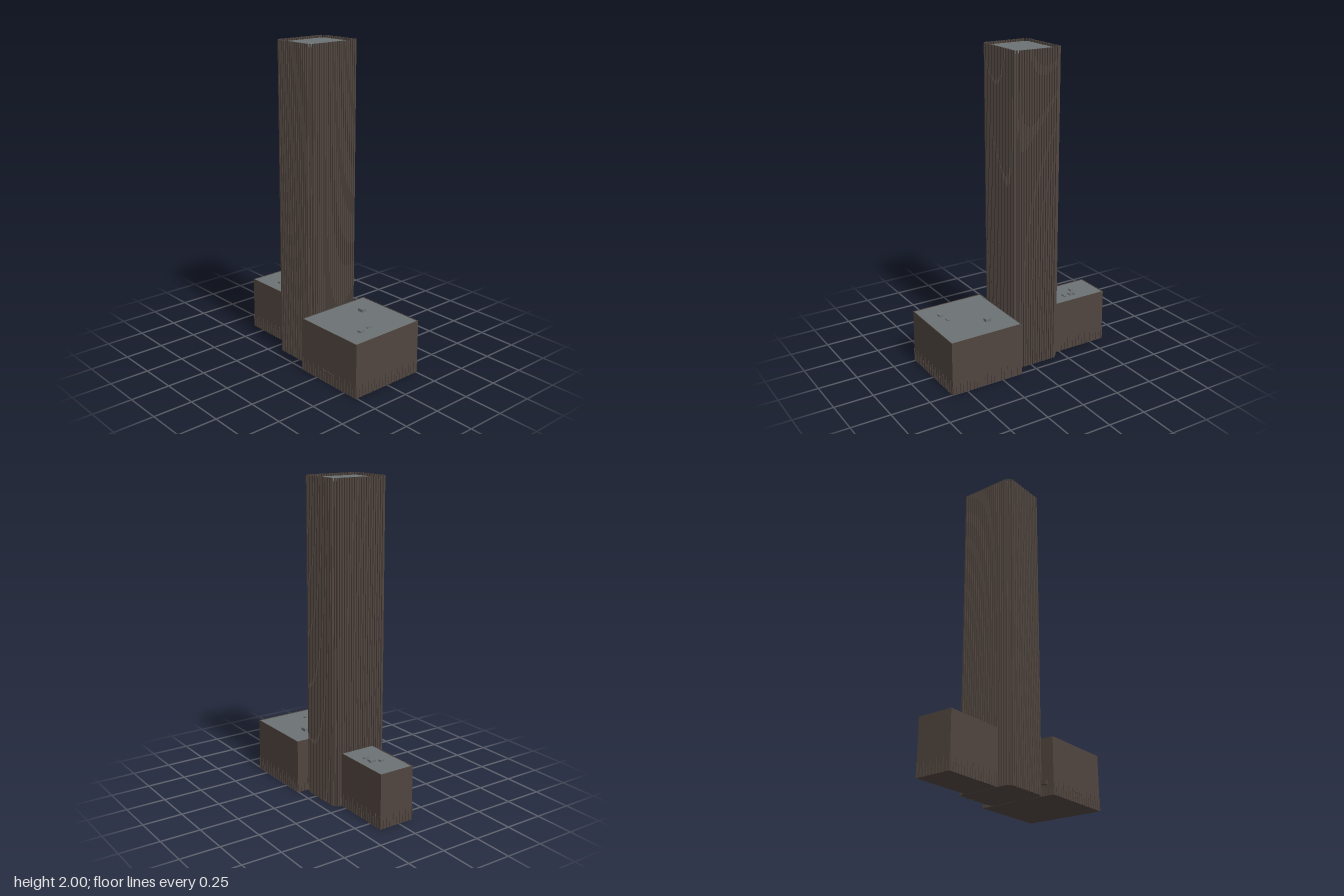
import * as THREE from 'three';
import { mergeGeometries } from 'three/addons/utils/BufferGeometryUtils.js';

const facade = new THREE.MeshStandardMaterial({ color: 0x50453f });
facade.name = 'brown facade';
const roofGrey = new THREE.MeshStandardMaterial({ color: 0x6c7173 });
roofGrey.name = 'roof grey';

// Box geometry given by its extents on each axis
function block(x0, x1, y0, y1, z0, z1) {
  return new THREE.BoxGeometry(x1 - x0, y1 - y0, z1 - z0)
    .translate((x0 + x1) / 2, (y0 + y1) / 2, (z0 + z1) / 2);
}

function add(parent, name, geometry, material) {
  const mesh = new THREE.Mesh(geometry, material);
  mesh.name = name;
  parent.add(mesh);
  return mesh;
}

// Upright prism on a rectangle with square notches at its corners
function notchedPrism(w, d, n, y0, y1) {
  const pts = [
    [w - n, -d], [w - n, -d + n], [w, -d + n], [w, d - n], [w - n, d - n], [w - n, d],
    [-w + n, d], [-w + n, d - n], [-w, d - n], [-w, -d + n], [-w + n, -d + n], [-w + n, -d],
  ].map(([x, y]) => new THREE.Vector2(x, y));
  return new THREE.ExtrudeGeometry(new THREE.Shape(pts), { depth: y1 - y0, bevelEnabled: false })
    .rotateX(-Math.PI / 2).translate(0, y0, 0);
}

function makeTower() {
  const tower = new THREE.Group();
  tower.name = 'tower';
  tower.position.z = -0.045;
  add(tower, 'towerWalls', notchedPrism(0.18, 0.15, 0.012, 0, 1.94), facade);
  add(tower, 'crownWalls', notchedPrism(0.176, 0.146, 0.012, 1.94, 1.98), facade);
  add(tower, 'towerRoof', notchedPrism(0.179, 0.149, 0.012, 1.98, 1.985), roofGrey);

  // Full-height fins along all four sides, rising past the roof
  const fins = [];
  const half = 0.0055;
  for (let i = 0; i < 20; i++) {
    const x = -0.1615 + i * 0.017;
    for (const s of [-1, 1]) {
      fins.push(new THREE.BoxGeometry(half * 2, 2, 0.01).translate(x, 1, s * 0.155));
    }
  }
  for (let i = 0; i < 16; i++) {
    const z = -0.129 + i * 0.0172;
    for (const s of [-1, 1]) {
      fins.push(new THREE.BoxGeometry(0.01, 2, half * 2).translate(s * 0.185, 1, z));
    }
  }
  // Slim posts in the corner notches
  for (const sx of [-1, 1]) {
    for (const sz of [-1, 1]) {
      fins.push(new THREE.BoxGeometry(0.008, 2, 0.008).translate(sx * 0.174, 1, sz * 0.144));
    }
  }
  add(tower, 'towerFins', mergeGeometries(fins), facade);
  return tower;
}

function makeWing(name, x0, x1, z0, z1, postSides) {
  const wing = new THREE.Group();
  wing.name = name;
  const top = 0.345, rim = 0.004;
  add(wing, name + 'Walls', block(x0, x1, 0, top - 0.006, z0, z1), facade);
  add(wing, name + 'Roof', block(x0 + rim, x1 - rim, top - 0.006, top - 0.003, z0 + rim, z1 - rim), roofGrey);
  add(wing, name + 'Parapet', mergeGeometries([
    block(x0, x1, top - 0.006, top, z0, z0 + rim),
    block(x0, x1, top - 0.006, top, z1 - rim, z1),
    block(x0, x0 + rim, top - 0.006, top, z0 + rim, z1 - rim),
    block(x1 - rim, x1, top - 0.006, top, z0 + rim, z1 - rim),
  ]), facade);

  // Short and tall posts alternating around the ground floor
  const posts = [];
  const t = 0.004, w = 0.003;
  const height = (i) => (i % 2 ? 0.055 : 0.085);
  const nx = Math.round((x1 - x0) / 0.024);
  const nz = Math.round((z1 - z0) / 0.024);
  for (let i = 0; i <= nx; i++) {
    const x = THREE.MathUtils.lerp(x0 + w, x1 - w, i / nx);
    if (postSides.front) posts.push(block(x - w, x + w, 0, height(i), z1, z1 + t));
    if (postSides.back) posts.push(block(x - w, x + w, 0, height(i), z0 - t, z0));
  }
  for (let i = 0; i <= nz; i++) {
    const z = THREE.MathUtils.lerp(z0 + w, z1 - w, i / nz);
    posts.push(block(x0 - t, x0, 0, height(i), z - w, z + w));
    posts.push(block(x1, x1 + t, 0, height(i), z - w, z + w));
  }
  add(wing, name + 'Posts', mergeGeometries(posts), facade);
  return wing;
}

export function createModel() {
  const model = new THREE.Group();
  model.name = 'skyscraper';
  model.add(makeTower());
  model.add(makeWing('frontWing', -0.257, 0.255, 0.113, 0.598, { front: true, back: true }));
  model.add(makeWing('backWing', -0.097, 0.137, -0.598, -0.2, { back: true }));

  // Rooftop machinery: x, z, width, depth, top
  const units = [
    [0.1, 0.265, 0.033, 0.04, 0.36], [-0.112, 0.48, 0.032, 0.028, 0.352],
    [-0.037, 0.47, 0.03, 0.014, 0.35], [0.005, -0.43, 0.03, 0.02, 0.352],
    [0.058, -0.41, 0.04, 0.018, 0.355], [0.058, -0.39, 0.028, 0.022, 0.352],
    [0.055, -0.343, 0.038, 0.018, 0.35],
  ];
  for (const [x, z, w, d, top] of units) {
    add(model, 'roofUnit', block(x - w / 2, x + w / 2, 0.34, top, z - d / 2, z + d / 2), roofGrey);
  }

  // Entrance canopy beside the tower and an awning on the front wing
  add(model, 'entranceCanopy', block(-0.225, -0.165, 0.06, 0.085, 0.082, 0.1), facade);
  add(model, 'sideAwning', block(-0.262, -0.255, 0.06, 0.075, 0.315, 0.4), facade);
  return model;
}
